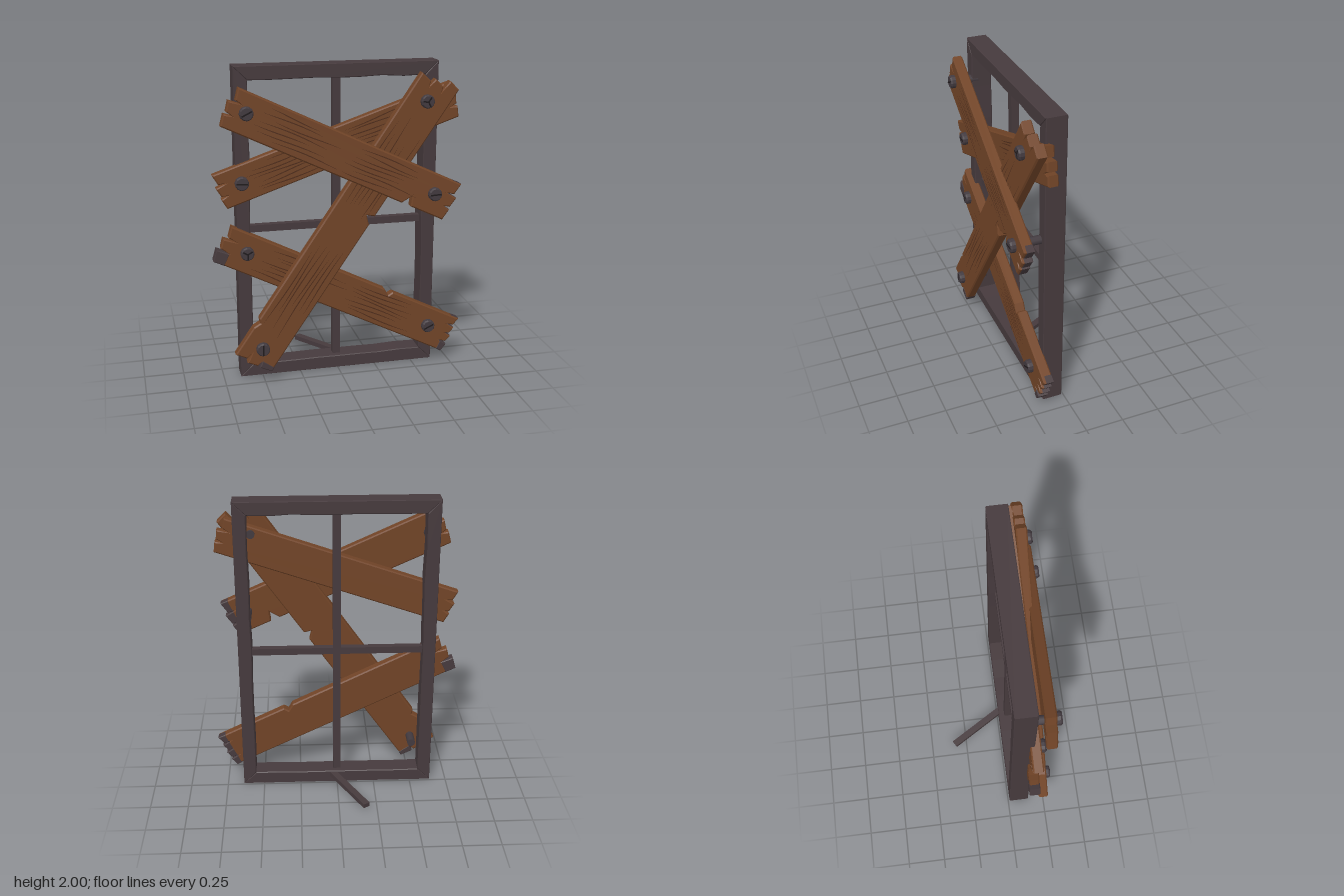
import * as THREE from 'three';
import { mergeGeometries } from 'three/addons/utils/BufferGeometryUtils.js';

const paint = (name, color) => {
  const m = new THREE.MeshStandardMaterial({ color });
  m.name = name;
  return m;
};

let seed = 7;
const rand = () => {
  seed = (seed * 16807) % 2147483647;
  return seed / 2147483647;
};

const THICK = 0.066;

// Polygon extruded between two z values, with small chamfers kept inside the outline
function slab(points, z0, z1, bevel) {
  const shape = new THREE.Shape(points.map(([x, y]) => new THREE.Vector2(x, y)));
  const geo = new THREE.ExtrudeGeometry(shape, {
    depth: z1 - z0 - 2 * bevel, bevelThickness: bevel,
    bevelSize: bevel, bevelOffset: -bevel, bevelSegments: 1,
  });
  return geo.translate(0, 0, z0 + bevel);
}

// Splintered plank end: one blunt tooth per given length, from the upper edge down
function splinter(lengths, width, end, side) {
  const step = width / lengths.length, outline = [], teeth = [];
  lengths.forEach((len, i) => {
    const last = i === lengths.length - 1;
    const top = width / 2 - i * step, low = top - step;
    const tip = end + side * len, root = end - side * (i % 2 ? 0.045 : 0.065);
    const a = [tip, top - (i ? 0.009 : 0)];
    const b = [tip - side * 0.014, low + (last ? 0 : 0.009)];
    outline.push(a, b);
    if (!last) outline.push([root, low]);
    teeth.push([[end - side * 0.05, top], [a[0] + side * 0.002, a[1] + 0.002],
      [b[0] + side * 0.002, b[1] - 0.002], [end - side * 0.05, low]]);
  });
  return { outline, teeth };
}

// Slender wavy grain marks lying on the front of a plank
function grainGeometry(length, width) {
  const strips = [];
  for (let k = 0; k < 14; k++) {
    const v0 = (((k % 7) + 0.5) / 7 - 0.5) * width * 0.8;
    const start = k < 7 ? 0.1 + rand() * 0.12 : 0.5 + rand() * 0.08;
    const end = start + 0.2 + rand() * 0.1, phase = rand() * 6;
    const up = [], down = [];
    for (let i = 0; i <= 8; i++) {
      const t = start + (end - start) * i / 8;
      const half = 0.0032 * Math.sin(Math.PI * i / 8) + 0.0003;
      const v = v0 + 0.006 * Math.sin(t * 16 + phase);
      up.unshift(new THREE.Vector2(t * length, v + half));
      down.push(new THREE.Vector2(t * length, v - half));
    }
    strips.push(new THREE.ShapeGeometry(new THREE.Shape([...down, ...up])));
  }
  return mergeGeometries(strips).translate(0, 0, THICK / 2 + 0.0012);
}

export function createModel() {
  const model = new THREE.Group();
  const wood = paint('brown wood', 0x714427);
  const grain = paint('dark grain', 0x4f2d1b);
  const frameWood = paint('dark frame', 0x463a3d);
  const iron = paint('old iron', 0x423a3f);
  const slot = paint('slot black', 0x1f1a1c);

  const add = (parent, name, geo, mat) => {
    const mesh = new THREE.Mesh(geo, mat);
    mesh.name = name;
    parent.add(mesh);
    return mesh;
  };

  // Mitred window frame with slightly worn inner edges
  const frame = new THREE.Group();
  frame.name = 'windowFrame';
  model.add(frame);
  const W = 0.64, H = 1, B = 0.085;
  const bar = (name, half, reach, angle) => {
    const inner = [];
    for (let i = 0; i <= 8; i++) {
      const wear = i % 8 ? (rand() - 0.5) * 0.01 : 0;
      inner.push([(half - B) * (1 - i / 4), reach - B + wear]);
    }
    const geo = slab([[-half, reach], [half, reach], ...inner], 0.01, 0.142, 0.005);
    add(frame, name, geo.rotateZ(angle).translate(0, 1, 0), frameWood);
  };
  bar('topRail', W, H, 0);
  bar('bottomRail', W, H, Math.PI);
  bar('leftStile', H, W, -Math.PI / 2);
  bar('rightStile', H, W, Math.PI / 2);

  // Crossing glazing bars
  add(frame, 'verticalBar', new THREE.BoxGeometry(0.05, 1.86, 0.05).translate(0, 1, 0.075), frameWood);
  add(frame, 'horizontalBar', new THREE.BoxGeometry(1.14, 0.045, 0.045).translate(0, 0.98, 0.075), frameWood);

  // Small lever sticking out behind the bottom rail
  const from = new THREE.Vector3(0.035, 0.062, 0.03), to = new THREE.Vector3(-0.18, 0.033, -0.335);
  const lever = add(model, 'lever', new THREE.BoxGeometry(0.045, 0.03, from.distanceTo(to)), frameWood);
  lever.position.copy(from).lerp(to, 0.5);
  lever.lookAt(to);

  // Bolt with shank, rounded head and a slot or a three-way crack
  const headProfile = [[0, -0.012], [0.038, -0.012], [0.043, 0], [0.043, 0.024], [0.036, 0.034], [0, 0.034]]
    .map(([r, y]) => new THREE.Vector2(r, y));
  const addBolt = (parent, x, surface, angle, arms) => {
    const bolt = new THREE.Group();
    bolt.name = 'bolt';
    bolt.position.set(x, 0.006, surface);
    parent.add(bolt);
    const head = new THREE.LatheGeometry(headProfile, 12).rotateX(Math.PI / 2).toNonIndexed();
    head.computeVertexNormals();
    add(bolt, 'boltHead', head, iron);
    const depth = surface - 0.1;
    add(bolt, 'boltShank',
      new THREE.CylinderGeometry(0.028, 0.028, depth, 10).rotateX(Math.PI / 2).translate(0, 0, -depth / 2), iron);
    for (let i = 0; i < arms; i++) {
      const arm = new THREE.BoxGeometry(0.034, 0.009, 0.003).translate(0.017, 0, 0.0345);
      add(bolt, 'boltSlot', arm.rotateZ(angle + i * Math.PI * 2 / arms), slot);
    }
  };

  // Plank from point a to point b (x, y, z), with teeth, edge nicks, stained tips and bolts
  const addPlank = (name, a, b, width, { startTeeth, endTeeth, nicks = [], stains = [], bolts }) => {
    const group = new THREE.Group();
    group.name = name;
    const dx = b[0] - a[0], dy = b[1] - a[1], length = Math.hypot(dx, dy), h = THICK / 2;
    group.position.set(a[0], a[1], 0);
    group.rotation.z = Math.atan2(dy, dx);
    model.add(group);

    const zAt = (u) => a[2] + (b[2] - a[2]) * u / length;
    const lean = (geo) => {
      const p = geo.attributes.position;
      for (let i = 0; i < p.count; i++) p.setZ(i, p.getZ(i) + zAt(p.getX(i)));
      geo.computeVertexNormals();
      return geo;
    };
    const nickPoints = (edge) => nicks.filter((n) => n[0] === edge).flatMap(([, t, deep]) => [
      [t * length - 0.045, edge * width / 2],
      [t * length, edge * (width / 2 - deep)],
      [t * length + 0.02, edge * width / 2]]);

    const start = splinter(startTeeth, width, 0, -1), end = splinter(endTeeth, width, length, 1);
    const outline = [...nickPoints(1), ...end.outline, ...nickPoints(-1).reverse(), ...start.outline.reverse()];
    add(group, 'plank', lean(slab(outline, -h, h, 0.008)), wood);
    add(group, 'grainLines', lean(grainGeometry(length, width)), grain);
    for (const { at, tooth, front } of stains) {
      const tip = (at === 'start' ? start : end).teeth[tooth];
      add(group, 'stainedTip', lean(slab(tip, -h - 0.002, front ? h + 0.002 : h - 0.012, 0.005)), frameWood);
    }
    for (const [inset, angle, arms] of bolts) {
      const u = inset > 0 ? inset : length + inset;
      addBolt(group, u, zAt(u) + h, angle, arms);
    }
  };

  addPlank('upperFallingPlank', [-0.685, 1.78, 0.216], [0.7, 1.13, 0.28], 0.252, {
    startTeeth: [-0.01, 0.015, 0.01], endTeeth: [0, 0.01, 0], nicks: [[-1, 0.83, 0.065]],
    stains: [0, 1, 2].map((tooth) => ({ at: 'end', tooth })),
    bolts: [[0.11, 0.9, 2], [-0.138, 0.5, 2]],
  });
  addPlank('upperRisingPlank', [-0.75, 1.245, 0.147], [0.74, 1.76, 0.147], 0.23, {
    startTeeth: [0, 0.007, 0], endTeeth: [-0.005, 0.016, 0.005],
    bolts: [[0.15, -0.4, 2]],
  });
  addPlank('steepPlank', [-0.58, 0.14, 0.24], [0.62, 1.875, 0.202], 0.262, {
    startTeeth: [0, 0.01, -0.005], endTeeth: [-0.01, 0.005, 0.045],
    nicks: [[1, 0.12, 0.02], [-1, 0.56, 0.05]],
    stains: [{ at: 'start', tooth: 2, front: true }],
    bolts: [[0.12, 0.6, 2], [-0.138, 0, 3]],
  });
  addPlank('lowerFallingPlank', [-0.72, 0.91, 0.144], [0.755, 0.18, 0.173], 0.246, {
    startTeeth: [0.015, 0.03, 0.036], endTeeth: [0, 0, 0.005, 0], nicks: [[1, 0.68, 0.03]],
    stains: [{ at: 'start', tooth: 2, front: true }, { at: 'end', tooth: 3, front: true },
      ...[0, 1, 2].map((tooth) => ({ at: 'end', tooth }))],
    bolts: [[0.145, 1, 3], [-0.185, 0.9, 2]],
  });
  return model;
}
